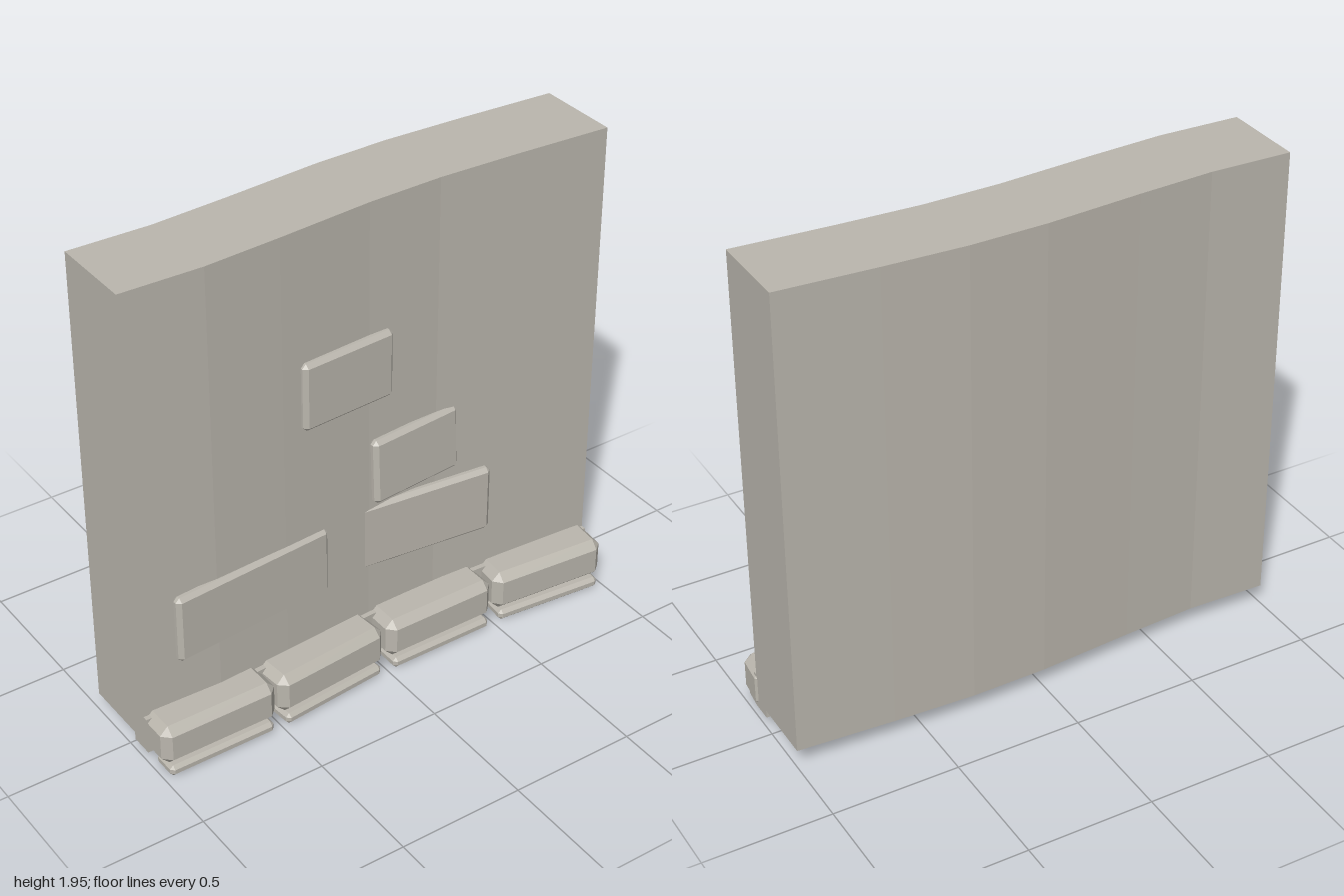
import * as THREE from 'three';
import { ConvexGeometry } from 'three/addons/geometries/ConvexGeometry.js';

const stone = new THREE.MeshStandardMaterial({ color: 0xbab6ad });
stone.name = 'warm grey stone';

// Plan curve of the wall face: [x, z]
const FACE = [[-1, 0.11], [-0.68, 0.12], [-0.38, 0.103], [0, 0.075], [0.3, 0.07], [0.62, 0.085], [1, 0.11]];

// Upright slab between two offsets of the plan curve
function curvedSlab(front, back, y0, y1) {
  const outline = [
    ...FACE.map(([x, z]) => new THREE.Vector2(x, -(z + front))),
    ...FACE.map(([x, z]) => new THREE.Vector2(x, -(z + back))).reverse(),
  ];
  const geo = new THREE.ExtrudeGeometry(new THREE.Shape(outline), { depth: y1 - y0, bevelEnabled: false });
  geo.rotateX(-Math.PI / 2);
  geo.translate(0, y0, 0);
  return geo;
}

// Box with every edge and corner chamfered
function chamferBox(w, h, d, c) {
  const pts = [];
  for (const sx of [-1, 1]) for (const sy of [-1, 1]) for (const sz of [-1, 1]) {
    const x = w / 2, y = h / 2, z = d / 2;
    pts.push(
      new THREE.Vector3(sx * x, sy * (y - c), sz * (z - c)),
      new THREE.Vector3(sx * (x - c), sy * y, sz * (z - c)),
      new THREE.Vector3(sx * (x - c), sy * (y - c), sz * z),
    );
  }
  return new ConvexGeometry(pts);
}

// Chamfered block whose front face runs from (x0, z0) to (x1, z1) in plan
function addBlock(group, name, { x0, x1, z0, z1, y0, y1, depth, chamfer, tilt = 0 }) {
  const geo = chamferBox(Math.hypot(x1 - x0, z1 - z0), y1 - y0, depth, chamfer);
  geo.translate(0, 0, -depth / 2);
  const mesh = new THREE.Mesh(geo, stone);
  mesh.name = name;
  mesh.position.set((x0 + x1) / 2, (y0 + y1) / 2, (z0 + z1) / 2);
  mesh.rotation.set(tilt, -Math.atan2(z1 - z0, x1 - x0), 0, 'YXZ');
  group.add(mesh);
}

export function createModel() {
  const model = new THREE.Group();
  model.name = 'stoneWall';

  // Gently curved wall
  const wall = new THREE.Mesh(curvedSlab(0, -0.33, 0.08, 1.95), stone);
  wall.name = 'wall';
  model.add(wall);

  // Backing strip behind the base stones
  const strip = new THREE.Mesh(curvedSlab(0.02, -0.07, 0.048, 0.2), stone);
  strip.name = 'backingStrip';
  model.add(strip);

  // Raised facing stones
  const facing = new THREE.Group();
  facing.name = 'facingStones';
  const plaques = [
    { x0: -0.30, x1: 0.095, z0: 0.122, z1: 0.098, y0: 1.15, y1: 1.425 },
    { x0: 0.0, x1: 0.395, z0: 0.122, z1: 0.088, y0: 0.72, y1: 0.988, tilt: -0.04 },
    { x0: -0.86, x1: -0.19, z0: 0.155, z1: 0.103, y0: 0.405, y1: 0.685 },
    { x0: -0.06, x1: 0.52, z0: 0.072, z1: 0.133, y0: 0.405, y1: 0.685 },
  ];
  plaques.forEach((p, i) => addBlock(facing, `facingStone${i + 1}`, { ...p, depth: 0.045, chamfer: 0.016 }));
  model.add(facing);

  // Row of base stones, each with a thin lip below
  const base = new THREE.Group();
  base.name = 'baseStones';
  const row = [
    [-0.995, -0.515, 0.247, 0.247],
    [-0.5, -0.01, 0.248, 0.206],
    [0.005, 0.49, 0.21, 0.21],
    [0.505, 0.995, 0.206, 0.25],
  ];
  row.forEach(([x0, x1, z0, z1], i) => {
    addBlock(base, `baseStone${i + 1}`, { x0, x1, z0, z1, y0: 0.046, y1: 0.214, depth: 0.17, chamfer: 0.032 });
    addBlock(base, `baseLip${i + 1}`, {
      x0: x0 + 0.02, x1: x1 - 0.02, z0: z0 + 0.004, z1: z1 + 0.004, y0: 0, y1: 0.046, depth: 0.11, chamfer: 0.014,
    });
  });
  model.add(base);

  return model;
}
